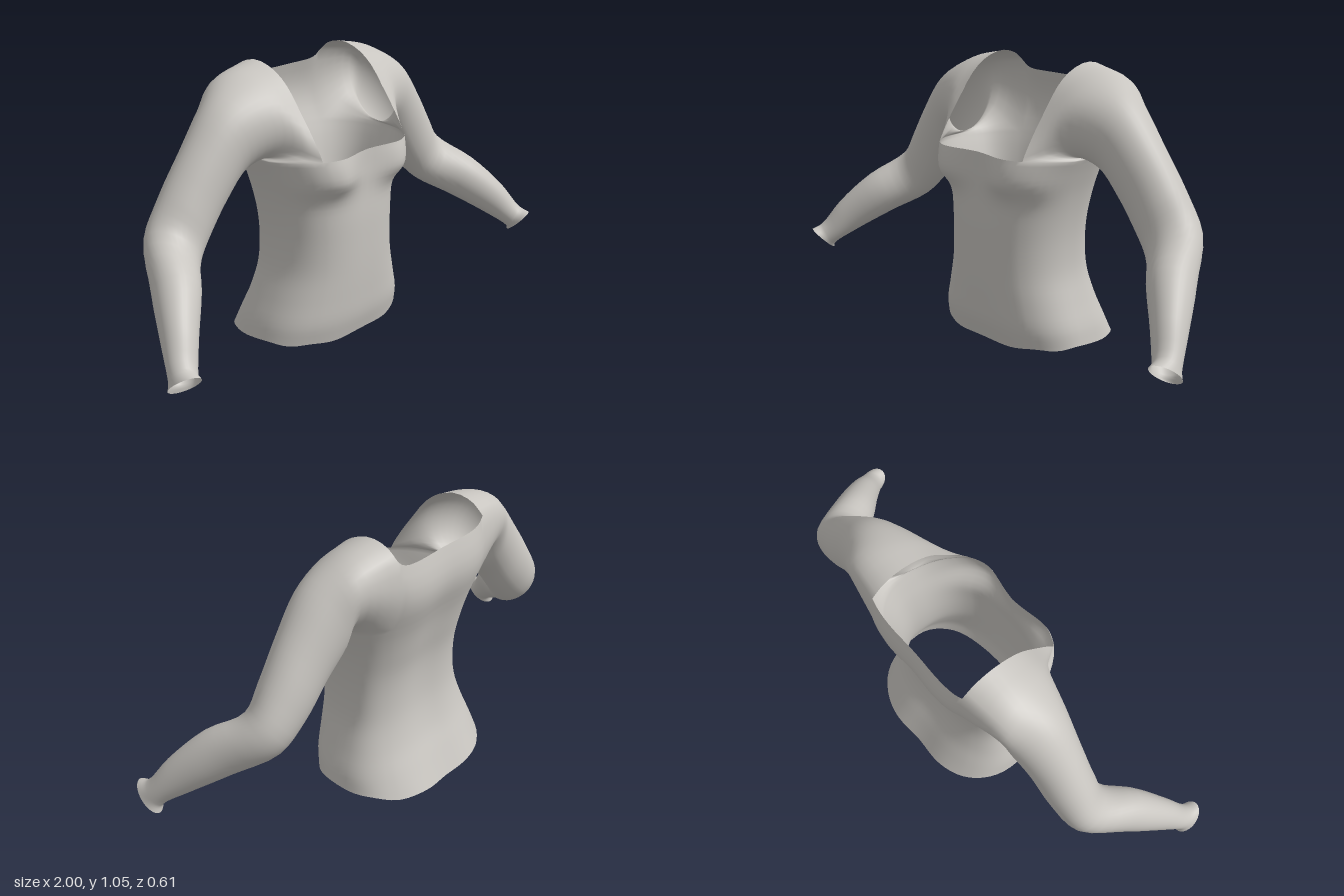
import * as THREE from 'three';
import { mergeGeometries, mergeVertices } from 'three/addons/utils/BufferGeometryUtils.js';

const V = (x, y, z) => new THREE.Vector3(x, y, z);
const lerp = THREE.MathUtils.lerp;

// Smoothly resample a list of rings along their length
function resample(rings, sub) {
  const steps = (rings.length - 1) * sub;
  const columns = rings[0].map((_, j) =>
    new THREE.CatmullRomCurve3(rings.map((r) => r[j]), false, 'centripetal').getPoints(steps));
  return Array.from({ length: steps + 1 }, (_, i) => columns.map((c) => c[i].clone()));
}

// Skin a list of rows; closed joins the last column to the first
function skin(rows, closed, flip = false) {
  const n = rows[0].length, index = [];
  for (let i = 0; i < rows.length - 1; i++) {
    for (let j = 0; j < (closed ? n : n - 1); j++) {
      const k = (j + 1) % n;
      const a = i * n + j, b = i * n + k, c = a + n, d = b + n;
      index.push(...(flip ? [a, b, c, b, d, c] : [a, c, b, b, c, d]));
    }
  }
  const g = new THREE.BufferGeometry();
  g.setAttribute('position', new THREE.Float32BufferAttribute(rows.flat().flatMap((p) => p.toArray()), 3));
  g.setIndex(index);
  return g;
}

export function createModel() {
  const fabric = new THREE.MeshStandardMaterial({ color: 0xc8c5c0, side: THREE.DoubleSide });
  fabric.name = 'light grey fabric';

  // Angles round the torso, split at the square neckline's corners
  const N = 2.5, NECK = 0.23, MID = -0.05, TOP_W = 0.332;
  const corner = Math.acos((NECK / TOP_W) ** (N / 2));
  const arc = (from, to, n) => Array.from({ length: n }, (_, i) => lerp(from, to, i / n));
  const FRONT = 20, SIDE = 16, BACK = 20, PI = Math.PI;
  const angles = [
    ...arc(-corner, corner, SIDE), ...arc(corner, PI - corner, FRONT),
    ...arc(PI - corner, PI + corner, SIDE), ...arc(PI + corner, 2 * PI - corner, BACK),
  ];

  // Torso sections: height, half width, front z, back z
  const sections = [
    [0.04, 0.345, 0.168, -0.317], [0.11, 0.333, 0.186, -0.27], [0.2, 0.302, 0.192, -0.228],
    [0.3, 0.272, 0.195, -0.201], [0.4, 0.264, 0.195, -0.193], [0.5, 0.27, 0.193, -0.199],
    [0.6, 0.288, 0.186, -0.221], [0.68, 0.312, 0.182, -0.242], [0.745, TOP_W, 0.182, -0.264],
  ];
  const power = (v) => Math.sign(v) * Math.abs(v) ** (2 / N);
  const torsoRings = sections.map(([y, w, front, back], i) => angles.map((a) => {
    const s = Math.sin(a), c = Math.cos(a);
    let h = y;
    if (i === 0) h += 0.008 - (s > 0 ? 0.015 : 0.034) * s * s + 0.003 * Math.sin(9 * a);
    if (i === sections.length - 1) h -= 0.01 * c ** 4;
    return V(w * power(c), h, MID + power(s) * (s > 0 ? front - MID : MID - back));
  }));
  const torso = resample(torsoRings, 4);

  // Bust and the hollow of the spine
  for (const row of torso) row.forEach((p, j) => {
    const s = Math.sqrt(Math.max(0, Math.sin(angles[j])));
    const dy = p.y - 0.66, dx = (Math.abs(p.x) - 0.185) / 0.11;
    const across = Math.exp(-(dx < 0 ? dx ** 2 : dx ** 4));
    p.z += s * 0.065 * across * Math.exp(-((dy / (dy < 0 ? 0.06 : 0.13)) ** 2));
    if (Math.sin(angles[j]) < 0) p.z += 0.018 * Math.exp(-((p.x / 0.1) ** 2));
  });
  const topRow = torso[torso.length - 1];

  // Upper back, rising to the back of the neckline
  const backRow = topRow.slice(SIDE * 2 + FRONT).concat(topRow[0]);
  const backCorner = topRow[0], RISE = 6;
  const upperBack = Array.from({ length: RISE + 1 }, (_, k) => backRow.map((p) => {
    const f = k / RISE;
    const rim = 0.98 + 0.03 * (Math.abs(p.x) / NECK) ** 10;
    const edge = lerp(backCorner.z, -0.247, f) - 0.028 * Math.sin(PI * f);
    return V(p.x, lerp(p.y, rim, f), edge + (p.z - backCorner.z) * (1 - 0.6 * f));
  }));

  // Sleeve root: under the arm, up the neckline edge, over the shoulder and down the back
  const frontCorner = topRow[SIDE], OVER = 18;
  const neckEdge = new THREE.CatmullRomCurve3([
    frontCorner, V(NECK, 0.772, 0.162), V(NECK, 0.835, 0.123), V(NECK, 0.91, 0.07),
    V(NECK, 0.987, 0.012), V(NECK, 1.035, -0.05), V(NECK, 1.06, -0.13), V(NECK, 1.047, -0.2),
    upperBack[RISE][BACK],
  ]).getPoints(OVER);
  const root = [
    ...topRow.slice(0, SIDE), ...neckEdge,
    ...Array.from({ length: RISE - 1 }, (_, k) => upperBack[RISE - 1 - k][BACK]),
  ];

  // Sleeve rings: centre, half-axis to the top, half-axis to the front
  const LOW = THREE.MathUtils.degToRad(125);
  const ringAngles = [
    ...arc(2 * PI - LOW, LOW, SIDE), ...arc(LOW, -LOW, OVER + RISE),
  ];
  const ring = (c, u, f) => ringAngles.map((t) =>
    V(...c).addScaledVector(V(...u), Math.cos(t)).addScaledVector(V(...f), Math.sin(t)));
  const sleeveRings = [
    root,
    ring([0.35, 0.885, -0.08], [0.008, 0.138, -0.01], [-0.042, -0.03, 0.152]),
    ring([0.44, 0.828, -0.092], [0.045, 0.127, 0], [-0.008, 0, 0.121]),
    ring([0.535, 0.722, -0.092], [0.06, 0.11, 0], [0, 0, 0.102]),
    ring([0.63, 0.6, -0.09], [0.066, 0.094, 0], [-0.01, 0, 0.095]),
    ring([0.707, 0.505, -0.07], [0.055, 0.084, 0.01], [-0.042, 0, 0.085]),
    ring([0.8, 0.42, 0.05], [0.03, 0.077, 0.036], [-0.064, 0, 0.05]),
    ring([0.89, 0.32, 0.16], [0.022, 0.06, 0.029], [-0.048, 0, 0.037]),
    ring([0.945, 0.24, 0.232], [0.015, 0.042, 0.022], [-0.038, 0, 0.028]),
    ring([0.957, 0.22, 0.252], [0.006, 0.046, 0.048], [-0.042, 0, 0.022]),
  ];
  const sleeve = resample(sleeveRings, 4);
  const mirrored = sleeve.map((r) => r.map((p) => V(-p.x, p.y, p.z)));

  // Join the panels so that the shading runs smoothly over the seams
  const cloth = mergeVertices(mergeGeometries([
    skin(torso, true), skin(upperBack, false), skin(sleeve, true), skin(mirrored, true, true),
  ]), 1e-4);
  cloth.computeVertexNormals();

  const garment = new THREE.Mesh(cloth, fabric);
  garment.name = 'longSleevedTop';
  const group = new THREE.Group();
  group.name = 'squareNeckTop';
  group.add(garment);
  return group;
}
